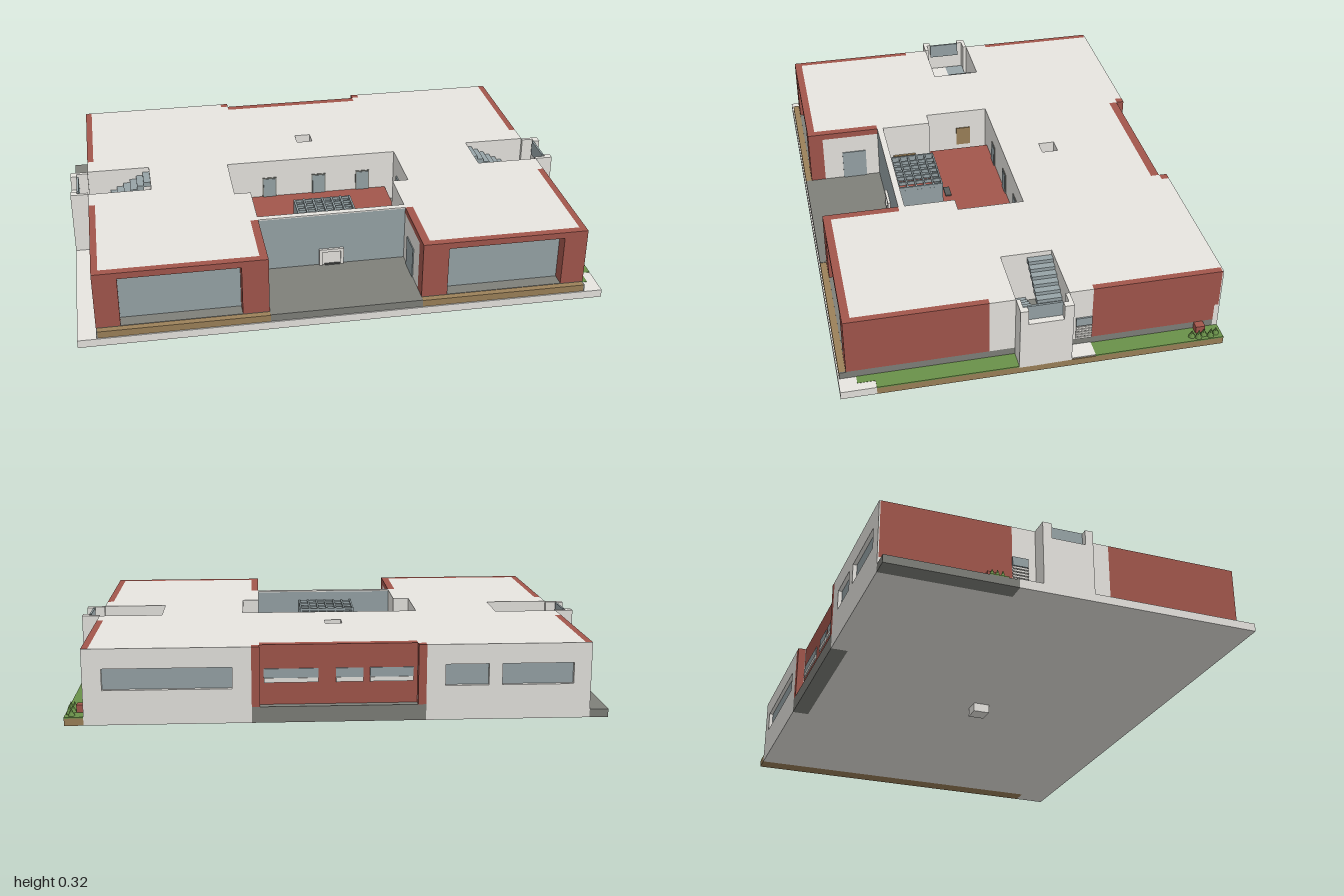
import * as THREE from 'three';

const mat = (name, color) => {
  const m = new THREE.MeshStandardMaterial({ color });
  m.name = name;
  return m;
};

export function createModel() {
  const g = new THREE.Group();
  g.name = 'courtyardBuilding';
  const white = mat('plaster', 0xe8e6e1), red = mat('brick', 0xa2564c), grey = mat('paving', 0x7f807a);
  const green = mat('grass', 0x6a9149), brown = mat('timberAndSoil', 0x9c8159), glass = mat('blueGreyGlass', 0x97a4a7);
  const dark = mat('darkMetal', 0x5a5c5a);

  // Box given by its limits on each axis
  const box = (name, m, x0, x1, y0, y1, z0, z1) => {
    const mesh = new THREE.Mesh(new THREE.BoxGeometry(x1 - x0, y1 - y0, z1 - z0), m);
    mesh.position.set((x0 + x1) / 2, (y0 + y1) / 2, (z0 + z1) / 2);
    mesh.name = name;
    g.add(mesh);
  };
  // The same box on both sides of x = 0
  const pair = (name, m, x0, x1, ...r) => {
    box(name + 'Left', m, x0, x1, ...r);
    box(name + 'Right', m, -x1, -x0, ...r);
  };
  // Building plan with courtyard, stair wells and roof light cut out
  const plan = (name, front, back, y0, y1) => {
    const half = [[.355, -.1], [.355, .16], [.29, .16], [.29, .385], [.32, .385], [.32, front], [.905, front],
      [.905, .16], [.93, .16], [.93, .065], [.68, .065], [.68, -.13], [.93, -.13], [.93, -.22], [.905, -.22],
      [.905, back], [.32, back], [.32, -.68], [.29, -.68], [.29, -.645]];
    const all = [...half, ...half.map(([x, z]) => [-x, z]).reverse()];
    const shape = new THREE.Shape(all.map(([x, z]) => new THREE.Vector2(x, -z)));
    const hole = [[-.035, .26], [.03, .26], [.03, .325], [-.035, .325]];
    shape.holes.push(new THREE.Path(hole.map(([x, y]) => new THREE.Vector2(x, y))));
    const geo = new THREE.ExtrudeGeometry(shape, { depth: y1 - y0, bevelEnabled: false });
    geo.rotateX(-Math.PI / 2).translate(0, y0, 0);
    const mesh = new THREE.Mesh(geo, white);
    mesh.name = name;
    g.add(mesh);
  };

  // Ground slab and sunken pit
  box('groundSlab', white, -.93, .93, .035, .066, -.645, .68);
  pair('groundSlabBack', white, .32, .93, .035, .066, -.69, -.645);
  box('frontKerb', white, -1, .93, .035, .066, .68, .71);
  box('cornerPaving', white, .93, 1, .035, .066, .58, .71);
  box('sidePath', white, -1, -.93, .035, .066, -.22, .68);
  box('sidePavingBack', grey, -1, -.93, .035, .066, -.71, -.22);
  box('soilEdge', brown, .93, 1, .035, .062, -.71, .58);
  box('lawn', green, .93, 1, .062, .067, -.71, -.22);
  box('lawn', green, .93, 1, .062, .067, .065, .58);
  box('lawnEnd', green, .93, .965, .066, .067, .58, .645);
  box('plantingBed', green, -1, -.93, .066, .07, -.33, -.26);
  pair('sideEntrancePaving', white, .93, 1, .066, .07, -.22, -.13);
  box('plinth', grey, -.93, .93, .066, .095, -.69, .68);
  box('forecourtEdge', grey, -.29, .29, .066, .095, .68, .705);
  pair('frontSoil', brown, .29, .925, .066, .093, .68, .705);
  pair('frontSoilEnd', grey, .925, .93, .066, .093, .68, .705);
  box('pitFloor', white, -.035, .03, 0, .005, -.03, .035);
  for (const x of [-.035, .024]) box('pitWall', white, x, x + .006, .005, .035, -.03, .035);
  for (const z of [-.03, .029]) box('pitWall', white, -.029, .024, .005, .035, z, z + .006);

  // Walls and roof
  plan('buildingWalls', .62, -.69, .095, .295);
  plan('roof', .65, -.71, .295, .32);
  box('roofLightFloor', white, -.035, .03, .095, .12, -.325, -.26);
  box('roofLightPanel', dark, -.035, -.002, .12, .125, -.325, -.292);

  // Brick side walls and front wings
  pair('sideWallFront', red, .905, .93, .095, .32, .16, .65);
  pair('sideWallBack', red, .905, .93, .095, .32, -.705, -.22);
  pair('frontParapet', red, .29, .93, .295, .32, .65, .68);
  pair('innerParapet', red, .29, .32, .295, .32, .385, .65);
  pair('innerPier', red, .29, .39, .095, .295, .62, .68);
  pair('outerPier', red, .84, .93, .095, .295, .62, .68);
  pair('forecourtWall', white, .29, .32, .095, .295, .385, .62);
  pair('forecourtDoor', glass, .286, .29, .095, .22, .44, .54);
  pair('frontWindow', glass, .39, .84, .095, .265, .62, .626);

  // Back facade: plaster wings with recessed windows
  pair('backBase', white, .32, .93, .035, .165, -.71, -.69);
  pair('backLintel', white, .32, .905, .245, .295, -.71, -.69);
  for (const [a, b] of [[.32, .39], [.86, .905], [-.39, -.32], [-.6, -.55], [-.905, -.865]]) {
    box('backPier', white, a, b, .165, .245, -.71, -.69);
  }
  pair('backCorner', white, .905, .93, .165, .32, -.71, -.705);
  for (const [a, b] of [[.39, .86], [-.55, -.39], [-.865, -.6]]) {
    box('backWindow', glass, a, b, .165, .245, -.695, -.69);
  }
  // Back facade: brick centre
  box('backPaving', grey, -.32, .32, .035, .066, -.71, -.645);
  box('backPavingTop', grey, -.32, .32, .066, .095, -.71, -.69);
  box('backBrickWall', red, -.29, .29, .095, .32, -.678, -.645);
  pair('backFin', red, .29, .32, .095, .32, -.71, -.68);
  for (const [a, b] of [[.075, .275], [-.09, .01], [-.275, -.115]]) {
    box('centreWindow', glass, a, b, .195, .23, -.681, -.678);
    box('centreWindowPanel', white, a, b, .178, .195, -.683, -.678);
  }

  // Stair towers: outer wall with glazed notch, returns and two flights
  pair('towerWall', white, .975, 1, .06, .26, -.13, .065);
  pair('towerPostFront', white, .975, 1, .26, .32, .035, .065);
  pair('towerPostBack', white, .975, 1, .26, .32, -.13, -.095);
  pair('towerReturnFront', white, .93, .975, .06, .32, .05, .065);
  pair('towerReturnBack', white, .93, .975, .06, .32, -.13, -.115);
  pair('towerWindow', glass, .967, .975, .26, .32, -.095, .035);
  box('stairLandingLeft', white, .87, .967, .185, .2, -.115, .05);
  box('stairLandingRight', glass, -.967, -.87, .185, .2, -.115, -.035);
  box('stairLandingRightEnd', white, -.967, -.87, .185, .2, -.035, .05);
  const steps = 7, run = .19 / steps;
  for (let i = 0; i < steps; i++) {
    const x = .68 + i * run, up = .3 - i * .0145, low = .11 + i * .0125;
    pair('upperStep', glass, x, x + run, up - .02, up, -.13, -.036);
    pair('lowerStep', glass, x, x + run, low - .015, low, -.034, .065);
  }
  // Side entrance screen beside each tower
  pair('sideWindow', glass, .93, .936, .16, .195, -.22, -.16);
  for (let i = 0; i < 5; i++) {
    pair('screenBar', dark, .93, .934, .1, .158, -.215 + i * .013, -.213 + i * .013);
    pair('screenRail', white, .934, .938, .1 + i * .012, .108 + i * .012, -.22, -.16);
  }

  // Raised courtyard floor and doors
  const deck = .155;
  box('courtyardFloor', red, -.32, .32, .095, deck, -.1, .16);
  box('courtyardFloorFront', red, -.29, .29, .095, deck, .16, .36);
  for (const x of [-.18, .03, .22]) {
    box('courtyardDoorFrame', grey, x - .03, x + .03, deck, .243, -.1, -.097);
    box('courtyardDoor', glass, x - .025, x + .025, deck, .238, -.097, -.095);
  }
  box('timberDoor', brown, -.355, -.35, deck, .238, -.03, .03);
  box('sideDoor', glass, .35, .355, deck, .238, -.03, .03);
  box('screenWall', glass, -.29, .29, .095, .315, .36, .385);
  box('screenWallCap', white, -.29, .29, .315, .32, .36, .385);
  // Entrance portal in the screen wall
  for (const x of [-.052, .033]) box('portalPost', white, x, x + .012, .095, .165, .385, .395);
  box('portalLintel', white, -.04, .033, .153, .165, .385, .395);
  box('portalDoor', white, -.04, .033, .095, .153, .385, .388);
  box('portalStep', dark, -.03, .03, .095, .1, .388, .395);

  // Pergola with panelled sides and a lattice top
  for (const x of [-.12, .107]) box('pergolaSide', glass, x, x + .004, deck, .265, .175, .36);
  box('pergolaBack', glass, -.116, .107, deck, .265, .175, .179);
  for (let i = 0; i < 7; i++) box('pergolaBeam', glass, -.12 + i * .0373, -.113 + i * .0373, .265, .28, .175, .36);
  for (let i = 0; i < 6; i++) box('pergolaRafter', glass, -.12, .111, .268, .278, .175 + i * .035, .181 + i * .035);
  box('courtyardPath', glass, -.03, .03, deck, deck + .004, .18, .36);
  box('doormat', dark, -.03, .03, deck, deck + .005, .125, .15);

  // Garden table and benches
  box('table', glass, -.23, -.2, deck + .02, deck + .03, .225, .325);
  box('tableLeg', dark, -.22, -.21, deck, deck + .02, .26, .29);
  for (const x of [-.288, -.16]) {
    for (const d of [0, .015]) box('benchSlat', brown, x + d, x + d + .01, deck, deck + .022, .225, .32);
  }
  for (const z of [.328, .34]) box('endBenchSlat', brown, -.26, -.17, deck, deck + .022, z, z + .009);

  // Planters and shrubs
  const shrub = (x, z, h) => {
    const mesh = new THREE.Mesh(new THREE.ConeGeometry(.014, h, 6), green);
    mesh.position.set(x, .066 + h / 2, z);
    mesh.name = 'shrub';
    g.add(mesh);
  };
  box('planter', red, .932, .962, .066, .096, -.65, -.615);
  box('planter', red, -.968, -.935, .066, .098, -.328, -.297);
  for (let i = 0; i < 5; i++) shrub(.975 + (i % 2) * .01, -.595 - i * .023, .03 + (i % 2) * .008);
  for (let i = 0; i < 3; i++) shrub(-.98, -.315 + i * .02, .036);
  return g;
}
